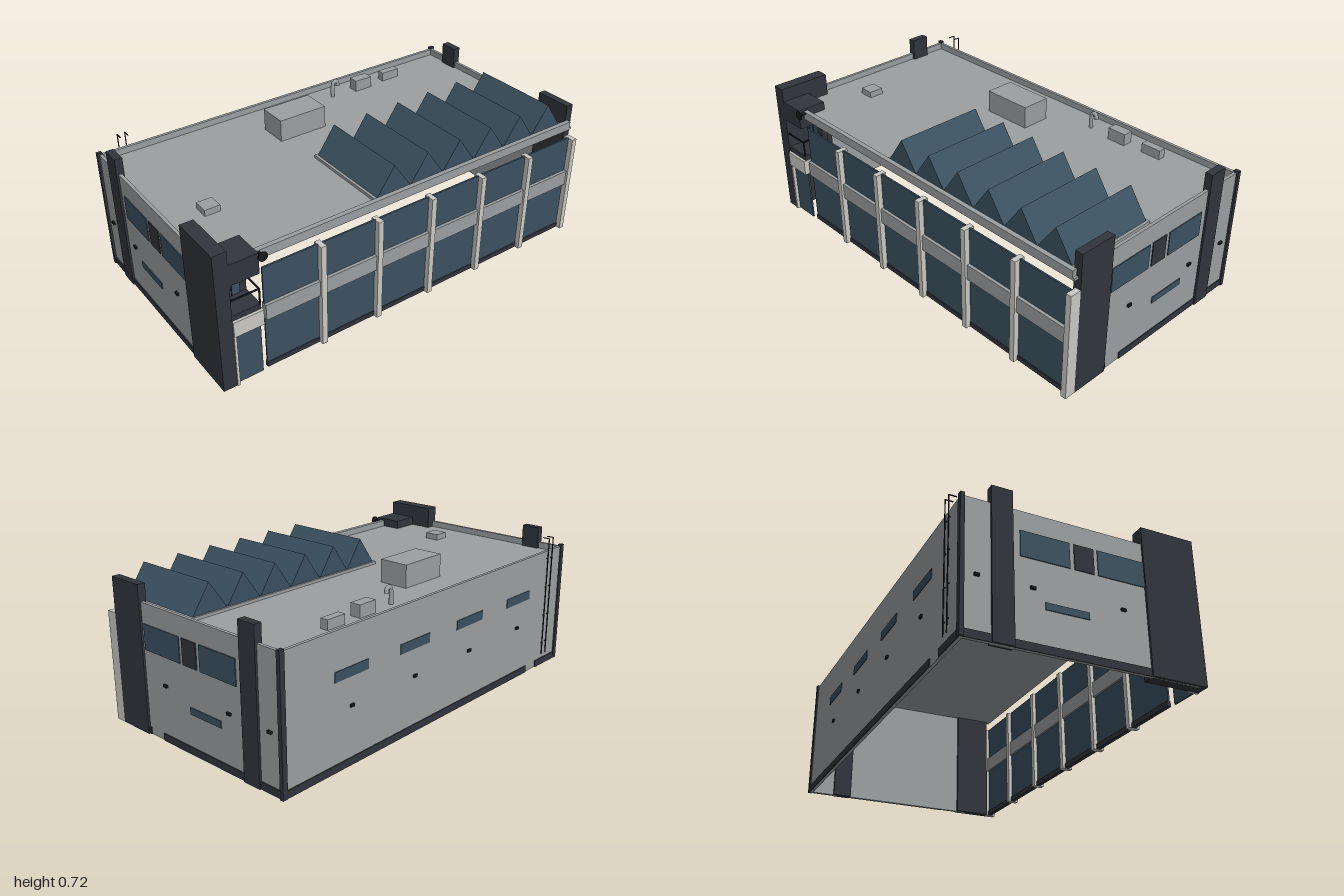
import * as THREE from 'three';

const mat = (name, color) => {
  const m = new THREE.MeshStandardMaterial({ color });
  m.name = name;
  return m;
};

export function createModel() {
  const grey = mat('wallGrey', 0x9b9fa1);
  const dark = mat('charcoal', 0x31353c);
  const glass = mat('blueGlass', 0x3b5160);
  const cream = mat('cream', 0xc9c8c2);
  const black = mat('black', 0x17191c);

  const model = new THREE.Group();
  model.name = 'officeBuilding';
  const add = (name, geo, material, parent = model) => {
    const m = new THREE.Mesh(geo, material);
    m.name = name;
    parent.add(m);
    return m;
  };
  // Box given by its limits on each axis
  const box = (name, material, x0, x1, y0, y1, z0, z1, parent) => {
    const m = add(name, new THREE.BoxGeometry(Math.abs(x1 - x0), y1 - y0, z1 - z0), material, parent);
    m.position.set((x0 + x1) / 2, (y0 + y1) / 2, (z0 + z1) / 2);
    return m;
  };

  // Shell: roof slab, front lip and back wall, with an open bottom
  box('roof', grey, -0.985, 0.985, 0.568, 0.58, -0.53, 0.51);
  box('roofFrontLip', grey, -0.8, 0.975, 0.579, 0.611, 0.487, 0.51);
  box('backWall', grey, -0.99, 0.99, 0, 0.611, -0.54, -0.525);
  box('backBase', dark, -0.71, 0.99, 0, 0.035, -0.545, -0.539);
  box('backBaseEnd', dark, -0.99, -0.8, 0, 0.035, -0.545, -0.539);

  // Back wall windows and lamps
  for (const x of [-0.605, -0.2, 0.2, 0.605]) {
    box('backWindow', glass, x - 0.1, x + 0.1, 0.395, 0.44, -0.543, -0.539);
    box('backLamp', black, x - 0.011, x + 0.011, 0.262, 0.275, -0.549, -0.539);
  }

  // Side walls, mirrored
  for (const s of [1, -1]) {
    const side = new THREE.Group();
    side.name = s > 0 ? 'leftSide' : 'rightSide';
    model.add(side);
    const plate = (name, m, y0, y1, z0, z1, out = 0.994) =>
      box(name, m, s * 0.988, s * out, y0, y1, z0, z1, side);
    box('sideWall', grey, s * 0.975, s * 0.99, 0, 0.611, -0.53, 0.51 - (s > 0 ? 0.03 : 0), side);
    plate('sideWindow', glass, 0.4, 0.518, 0.058, 0.293);
    plate('sideWindow', glass, 0.4, 0.518, -0.29, -0.07);
    plate('sidePanel', dark, 0.4, 0.518, -0.05, 0.04);
    plate('lowWindow', glass, 0.188, 0.22, -0.187, 0.007);
    plate('sideBase', dark, 0, 0.035, -0.54, s > 0 ? 0.205 : 0.3);
    if (s > 0) plate('sideBase', dark, 0, 0.035, 0.293, 0.31);
    for (const z of [0.165, -0.24, -0.475]) {
      plate('sideLamp', black, 0.263, 0.275, z - 0.011, z + 0.011, 1);
    }
    box('rearPier', dark, s * 0.963, s, 0, 0.689, -0.415, -0.322, side);
    box('cornerPost', dark, s * 0.975, s, 0, 0.62, -0.547, -0.528, side);
  }
  box('frontPier', dark, 0.962, 1, 0, 0.689, 0.305, 0.488);

  // Front facade: six bays between posts
  const pitch = 0.2965;
  for (let i = 0; i < 6; i++) {
    const post = -0.496 + i * pitch;
    const x0 = i ? post - pitch + 0.012 : -0.776;
    const x1 = post - 0.012;
    box('frontPost', cream, post - 0.0135, post + 0.0135, 0, 0.522, 0.488, 0.541);
    box('upperGlass', glass, x0, x1, 0.34, 0.525, 0.507, 0.515);
    box('lowerGlass', glass, x0, x1, 0.02, 0.267, 0.507, 0.515);
    box('spandrel', grey, x0, x1, 0.265, 0.342, 0.497, 0.53);
    box('frontBase', dark, x0, x1, 0, 0.025, 0.5, 0.519);
  }

  // Entrance tower with canopy and recessed balcony
  box('entranceTower', dark, -1, -0.936, 0, 0.689, 0.278, 0.537);
  box('canopy', dark, -0.936, -0.8, 0.522, 0.622, 0.39, 0.537);
  box('balconyBackWall', dark, -0.936, -0.8, 0.341, 0.525, 0.39, 0.42);
  box('balconyWindow', glass, -0.91, -0.832, 0.37, 0.517, 0.419, 0.424);
  box('balconyMullion', black, -0.874, -0.869, 0.37, 0.517, 0.42, 0.427);
  box('balconyFloor', dark, -0.936, -0.8, 0.338, 0.368, 0.39, 0.532);
  box('balconyRail', black, -0.936, -0.8, 0.44, 0.446, 0.527, 0.533);
  box('balconySideRail', black, -0.806, -0.8, 0.44, 0.446, 0.42, 0.533);
  box('balconyRailPost', black, -0.806, -0.8, 0.365, 0.446, 0.527, 0.533);
  box('entranceLintel', cream, -0.936, -0.795, 0.265, 0.341, 0.48, 0.545);
  box('entrancePost', cream, -0.936, -0.924, 0, 0.265, 0.488, 0.541);
  box('entranceGlass', glass, -0.924, -0.802, 0, 0.265, 0.517, 0.525);

  // Round plate beside the canopy
  const disc = add('roundPlate', new THREE.CylinderGeometry(0.022, 0.022, 0.006, 24), black);
  disc.rotation.x = Math.PI / 2;
  disc.position.set(-0.787, 0.605, 0.547);
  box('plateBracket', black, -0.802, -0.78, 0.602, 0.608, 0.505, 0.546);

  // Sawtooth skylights on a curb
  box('skylightCurb', grey, -0.184, 0.949, 0.579, 0.594, 0.018, 0.48);
  const w = 0.0925;
  const tri = new THREE.Shape([
    new THREE.Vector2(-w, 0), new THREE.Vector2(w, 0), new THREE.Vector2(0, 0.132),
  ]);
  const prism = new THREE.ExtrudeGeometry(tri, { depth: 0.442, bevelEnabled: false });
  for (let i = 0; i < 6; i++) {
    add('skylight', prism, glass).position.set(-0.08 + i * 0.185, 0.592, 0.028);
  }

  // Roof equipment
  box('plantRoom', grey, -0.227, 0.025, 0.579, 0.689, -0.342, -0.195);
  box('ventBox', grey, 0.366, 0.463, 0.579, 0.638, -0.458, -0.405);
  box('ventBox', grey, 0.553, 0.655, 0.579, 0.625, -0.458, -0.42);
  box('ventBox', grey, -0.82, -0.746, 0.579, 0.61, 0.07, 0.144);
  const bend = new THREE.CatmullRomCurve3([
    [0.237, 0.578], [0.237, 0.635], [0.243, 0.656], [0.254, 0.661], [0.264, 0.655], [0.269, 0.635],
  ].map(([x, y]) => new THREE.Vector3(x, y, -0.432)));
  const pipeMat = grey.clone();
  pipeMat.name = 'pipeGrey';
  pipeMat.side = THREE.DoubleSide;
  add('ventPipe', new THREE.TubeGeometry(bend, 20, 0.01, 10), pipeMat);

  // Roof access ladder on the back wall
  const ladder = new THREE.Group();
  ladder.name = 'ladder';
  model.add(ladder);
  for (const x of [-0.887, -0.85]) {
    box('ladderRail', black, x - 0.002, x + 0.002, 0.06, 0.678, -0.55, -0.546, ladder);
    box('ladderHook', black, x - 0.002, x + 0.002, 0.674, 0.678, -0.55, -0.513, ladder);
    for (const y of [0.12, 0.27, 0.42, 0.57]) {
      box('ladderBracket', black, x - 0.002, x + 0.002, y, y + 0.004, -0.55, -0.538, ladder);
    }
  }
  return model;
}
